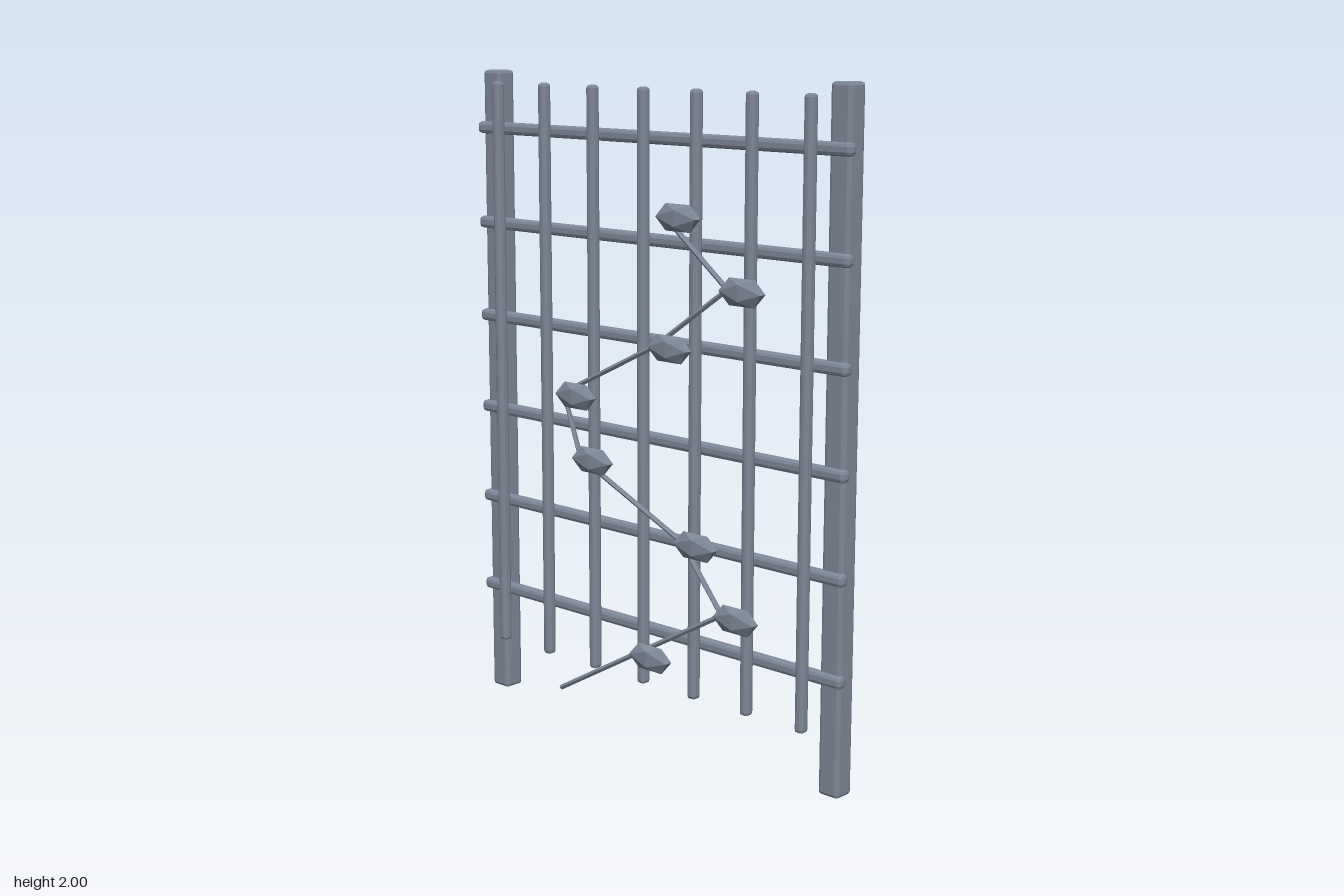
import * as THREE from 'three';
import { RoundedBoxGeometry } from 'three/addons/geometries/RoundedBoxGeometry.js';

export function createModel() {
  const model = new THREE.Group();
  model.name = 'trellis';
  const material = new THREE.MeshStandardMaterial({ color: 0x808a9a, flatShading: true });

  const add = (name, geometry, x, y, z) => {
    const mesh = new THREE.Mesh(geometry, material);
    mesh.name = name;
    mesh.position.set(x, y, z);
    model.add(mesh);
    return mesh;
  };

  // Square posts with chamfered edges
  const postGeometry = new RoundedBoxGeometry(0.07, 2, 0.066, 1, 0.01);
  for (const side of [-1, 1]) {
    add(side > 0 ? 'leftPost' : 'rightPost', postGeometry, side * 0.685, 1, -0.0455);
  }

  // Horizontal rails with chamfered edges and ends
  const railGeometry = new RoundedBoxGeometry(1.465, 0.037, 0.034, 1, 0.011);
  for (let i = 0; i < 6; i++) {
    add(`rail${i + 1}`, railGeometry, 0, 0.349 + i * 0.295, -0.0125);
  }

  // Vertical rods in front of the rails
  const rodGeometry = new RoundedBoxGeometry(0.03, 1.785, 0.033, 1, 0.01);
  for (let i = -3; i <= 3; i++) {
    add(`rod${i + 4}`, rodGeometry, i * 0.205, 1.077, 0.0225);
  }

  // Climbing vine: straight stems between evenly rising nodes
  const nodeX = [-0.33, 0.002, 0.337, 0.182, -0.238, -0.308, 0.077, 0.35, 0.109];
  const nodes = nodeX.map((x, i) => new THREE.Vector3(x, 0.097 + i * 0.1893, 0.05));
  const up = new THREE.Vector3(0, 1, 0);
  const leafGeometry = new THREE.IcosahedronGeometry(1, 0).scale(0.089, 0.046, 0.023);
  for (let i = 1; i < nodes.length; i++) {
    const span = nodes[i].clone().sub(nodes[i - 1]);
    const middle = nodes[i].clone().add(nodes[i - 1]).multiplyScalar(0.5);
    const stem = add(`vineStem${i}`, new THREE.CylinderGeometry(0.008, 0.008, span.length(), 5),
      middle.x, middle.y, middle.z);
    stem.quaternion.setFromUnitVectors(up, span.normalize());

    // One faceted leaf beside each node
    add(`leaf${i}`, leafGeometry, nodes[i].x + 0.058, nodes[i].y - 0.002, 0.057);
  }

  return model;
}
